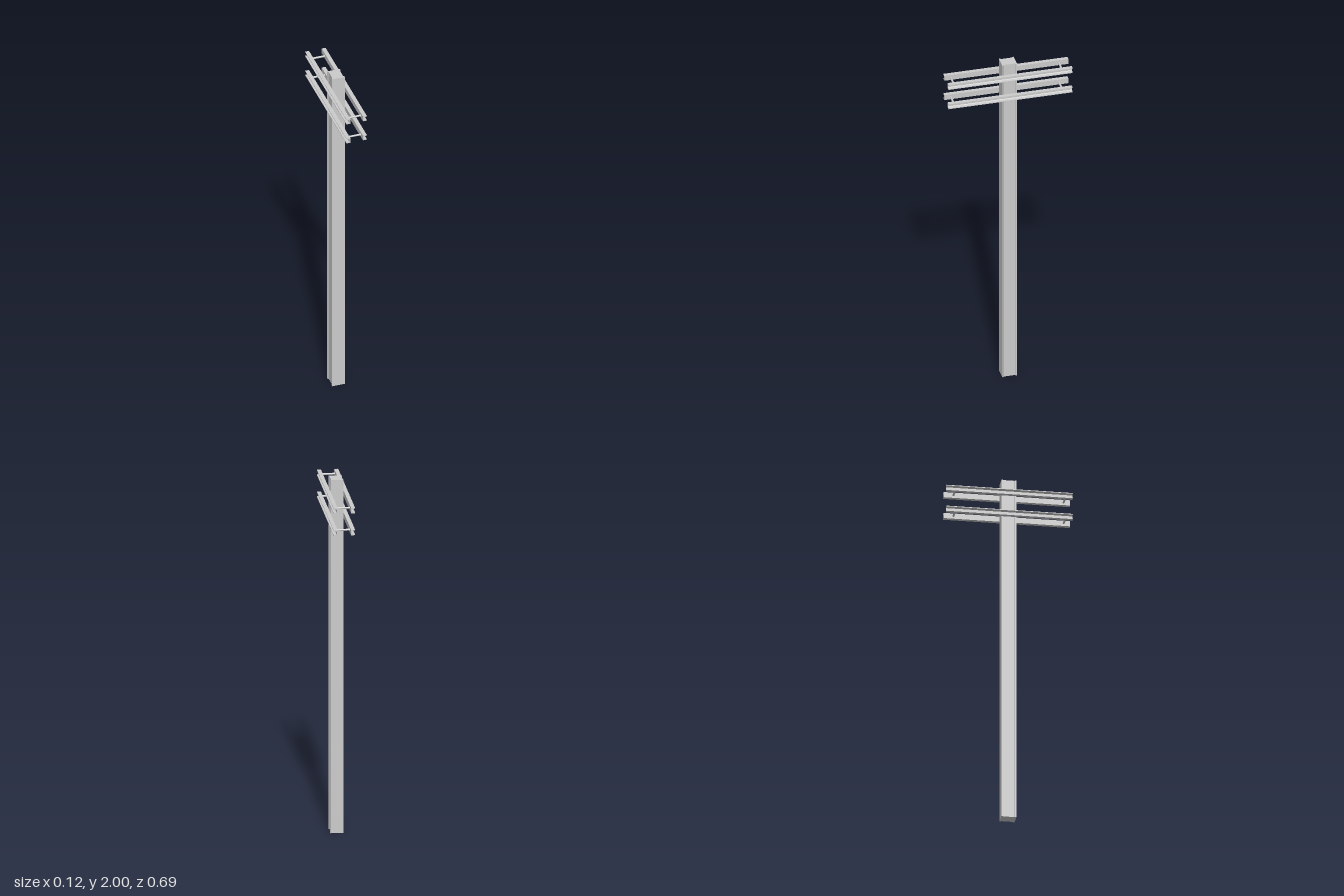
import * as THREE from 'three';

const grey = () => new THREE.MeshStandardMaterial({ color: 0xcccccc });

// Extrude a closed outline along z, centred
function extrudeCentred(points, length) {
  const shape = new THREE.Shape(points.map(([x, y]) => new THREE.Vector2(x, y)));
  const geo = new THREE.ExtrudeGeometry(shape, { depth: length, bevelEnabled: false });
  geo.translate(0, 0, -length / 2);
  return geo;
}

function addMesh(parent, geo, name) {
  const mesh = new THREE.Mesh(geo, grey());
  mesh.name = name;
  parent.add(mesh);
  return mesh;
}

export function createModel() {
  const model = new THREE.Group();
  model.name = 'utilityPole';

  // Post: square section with a shallow recess along both sides
  const w = 0.036, d = 0.041, web = 0.031, lip = 0.033;
  const half = [[w, -d], [w, -lip], [web, -lip + 0.002], [web, lip - 0.002], [w, lip], [w, d]];
  const section = [...half, ...half.map(([x, z]) => [-x, -z])];
  const postGeo = extrudeCentred(section, 2);
  postGeo.rotateX(-Math.PI / 2);
  postGeo.translate(0, 1, 0);
  addMesh(model, postGeo, 'post');

  // Channel section: web against the post, tapering flanges outward
  const inner = 0.036, outer = 0.058, back = 0.042, h = 0.0155;
  const channel = [
    [inner, -h], [outer, -h], [outer, -h + 0.004], [back + 0.002, -h + 0.006], [back, -h + 0.008],
    [back, h - 0.008], [back + 0.002, h - 0.006], [outer, h - 0.004], [outer, h], [inner, h],
  ];

  // Two tiers of paired crossarms joined by tie rods near the ends
  for (const [tier, y] of [['lower', 1.798], ['upper', 1.922]]) {
    const arms = new THREE.Group();
    arms.name = tier + 'Crossarms';
    arms.position.y = y;
    model.add(arms);

    const armGeo = extrudeCentred(channel, 0.69);
    addMesh(arms, armGeo, 'leftCrossarm');
    addMesh(arms, armGeo, 'rightCrossarm').rotation.y = Math.PI;

    for (const [name, z] of [['frontTieRod', 0.309], ['backTieRod', -0.292]]) {
      const rodGeo = new THREE.CylinderGeometry(0.0055, 0.0055, inner * 2 + 0.002, 16);
      rodGeo.rotateZ(Math.PI / 2);
      addMesh(arms, rodGeo, name).position.z = z;
    }
  }
  return model;
}
